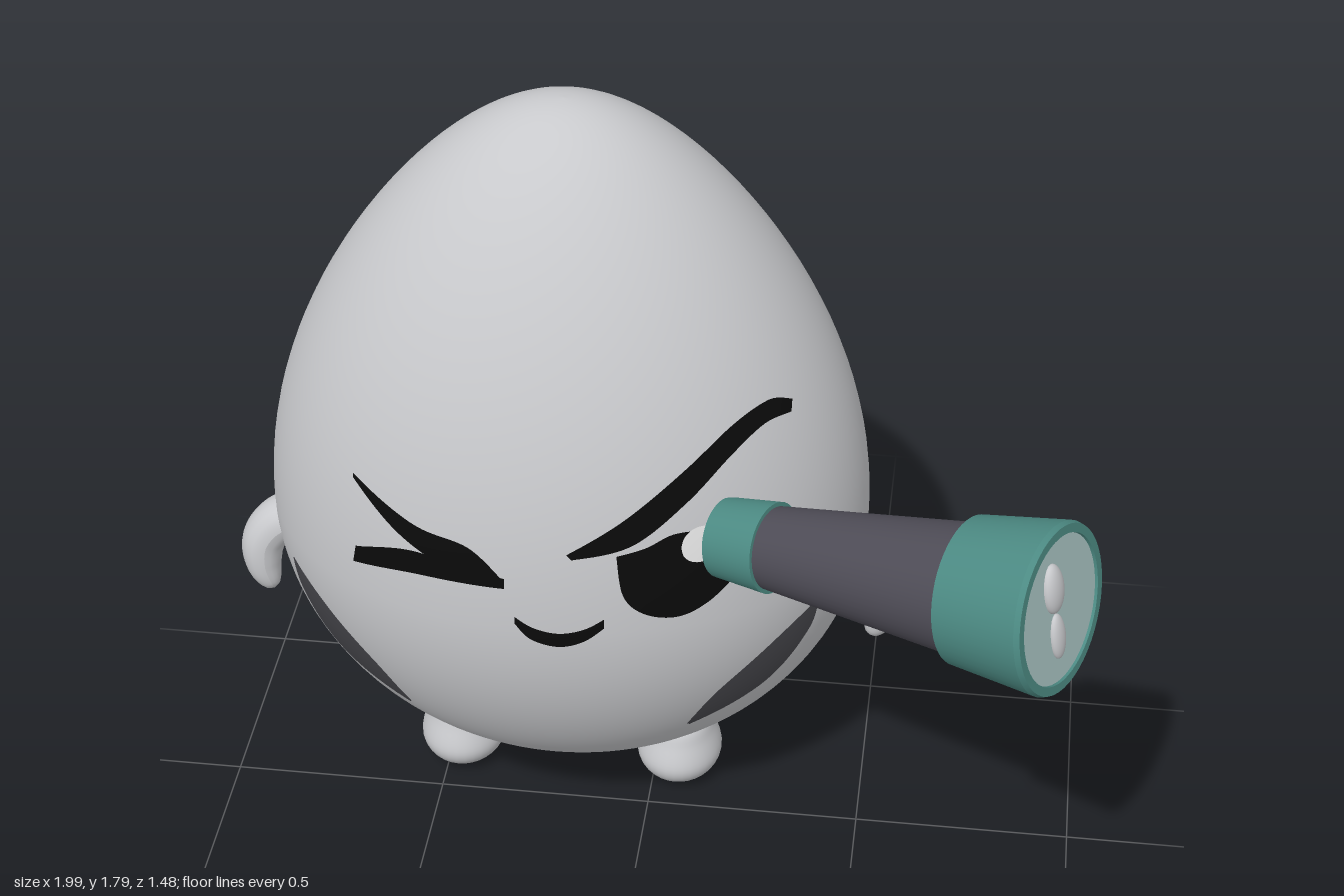
import * as THREE from 'three';

const mat = (name, color) => {
  const m = new THREE.MeshStandardMaterial({ color });
  m.name = name;
  return m;
};
const V2 = (p) => new THREE.Vector2(p[0], p[1]);

// Egg dimensions: centre, half width, half depth, heights below and above the widest ring
const C = new THREE.Vector3(-0.205, 0.77, -0.205);
const RX = 0.69, RZ = 0.54, LOW = 0.66, HIGH = 1.025;

// Relative egg radius (0..1) at height y
function eggRadius(y) {
  const t = y < C.y ? (C.y - y) / LOW : (y - C.y) / HIGH;
  const r = Math.sqrt(Math.max(0, 1 - t * t));
  return y < C.y ? r : r * (1 - 0.22 * t * t);
}

// Point on the front of the egg, pushed slightly outwards
function onEgg(x, y, lift) {
  const f = eggRadius(y), dx = (x - C.x) / RX;
  const z = C.z + RZ * Math.sqrt(Math.max(0, f * f - dx * dx));
  return new THREE.Vector3(x, y, z).sub(C).multiplyScalar(lift).add(C);
}

// Painted patch between an upper and a lower curve (both left to right)
function patch(top, bottom, lift = 1.009) {
  const a = new THREE.SplineCurve(bottom.map(V2)), b = new THREE.SplineCurve(top.map(V2));
  const N = 36, M = 8, pos = [], idx = [];
  for (let i = 0; i <= N; i++) {
    const p = a.getPoint(i / N), q = b.getPoint(i / N);
    for (let j = 0; j <= M; j++) {
      const s = p.clone().lerp(q, j / M);
      pos.push(...onEgg(s.x, s.y, lift).toArray());
      if (i < N && j < M) {
        const k = i * (M + 1) + j, l = k + M + 1;
        idx.push(k, l, l + 1, k, l + 1, k + 1);
      }
    }
  }
  const g = new THREE.BufferGeometry();
  g.setAttribute('position', new THREE.Float32BufferAttribute(pos, 3));
  g.setIndex(idx);
  g.computeVertexNormals();
  return g;
}

// Bent limb: a tube whose rings shrink to a rounded tip
function armGeometry() {
  const path = new THREE.CatmullRomCurve3([
    [0.61, 0.62, 0.01], [0.68, 0.635, 0.015], [0.73, 0.585, 0.03], [0.735, 0.52, 0.045], [0.71, 0.452, 0.06],
  ].map((p) => new THREE.Vector3(...p)));
  const N = 28, R = 20;
  const g = new THREE.TubeGeometry(path, N, 0.056, R);
  const pos = g.attributes.position, v = new THREE.Vector3();
  for (let i = 0; i <= N; i++) {
    const t = i / N, c = path.getPointAt(t), s = Math.sqrt(1 - t ** 3);
    for (let j = 0; j <= R; j++) {
      const k = i * (R + 1) + j;
      v.fromBufferAttribute(pos, k).sub(c).multiplyScalar(s);
      v.z *= 1.1;
      v.add(c);
      pos.setXYZ(k, v.x, v.y, v.z);
    }
  }
  g.computeVertexNormals();
  return g;
}

export function createModel() {
  const model = new THREE.Group();
  const shell = mat('shell', 0xc8c9cc);
  const black = mat('ink', 0x0a0a0a);
  const mark = mat('cheekMark', 0x46464b);
  const teal = mat('teal', 0x4c8a83);
  const dark = mat('darkTube', 0x4e4c56);
  const glass = mat('glass', 0xa9c4c3);
  const white = mat('highlight', 0xf0f0f0);
  black.side = mark.side = white.side = THREE.DoubleSide;

  const add = (parent, name, geo, m) => {
    const mesh = new THREE.Mesh(geo, m);
    mesh.name = name;
    parent.add(mesh);
    return mesh;
  };

  // Egg body
  const profile = [];
  for (let i = 0; i <= 64; i++) {
    const a = -Math.PI / 2 + (Math.PI * i) / 64, s = Math.sin(a);
    const y = C.y + s * (s < 0 ? LOW : HIGH);
    profile.push(new THREE.Vector2(i % 64 ? eggRadius(y) : 0, y));
  }
  const body = add(model, 'body', new THREE.LatheGeometry(profile, 96).scale(RX, 1, RZ), shell);
  body.position.set(C.x, 0, C.z);

  // Arms and feet, mirrored about the egg's middle
  const footProfile = new THREE.SplineCurve([
    [0, 0.003], [0.05, 0.009], [0.088, 0.035], [0.102, 0.075], [0.086, 0.13], [0.064, 0.175], [0, 0.195],
  ].map(V2)).getPoints(36);
  footProfile.forEach((p) => { p.x = Math.max(0, p.x); });
  const footGeo = new THREE.LatheGeometry(footProfile, 32).scale(1, 1, 1.18);
  const armGeo = armGeometry();
  for (const side of [1, -1]) {
    const limbs = new THREE.Group();
    limbs.name = side > 0 ? 'leftLimbs' : 'rightLimbs';
    limbs.position.set(C.x, 0, C.z);
    limbs.scale.x = side;
    add(limbs, 'arm', armGeo, shell);
    add(limbs, 'foot', footGeo, shell).position.set(0.264, 0, 0.058);
    model.add(limbs);
  }

  // Face
  const face = new THREE.Group();
  face.name = 'face';
  model.add(face);
  add(face, 'brow', patch(
    [[-0.136, 0.975], [-0.02, 1.05], [0.104, 1.147], [0.195, 1.217], [0.265, 1.24], [0.313, 1.218]],
    [[-0.125, 0.963], [0, 0.992], [0.11, 1.075], [0.195, 1.155], [0.26, 1.197], [0.313, 1.195]]), black);
  add(face, 'winkUpper', patch(
    [[-0.618, 1.056], [-0.473, 0.992], [-0.35, 0.968], [-0.27, 0.897]],
    [[-0.618, 1.046], [-0.51, 0.96], [-0.393, 0.906], [-0.27, 0.882]]), black);
  add(face, 'winkLower', patch(
    [[-0.615, 0.885], [-0.473, 0.928], [-0.27, 0.905]],
    [[-0.623, 0.842], [-0.473, 0.872], [-0.27, 0.88]]), black);
  add(face, 'mouth', patch(
    [[-0.249, 0.81], [-0.21, 0.785], [-0.155, 0.773], [-0.1, 0.785], [-0.056, 0.812]],
    [[-0.249, 0.792], [-0.215, 0.753], [-0.155, 0.736], [-0.1, 0.752], [-0.056, 0.788]]), black);
  add(face, 'openEye', patch(
    [[-0.03, 0.97], [0.03, 0.985], [0.09, 1.01], [0.16, 1.0], [0.2, 0.95], [0.227, 0.9]],
    [[-0.03, 0.965], [-0.015, 0.87], [0.03, 0.82], [0.1, 0.803], [0.165, 0.83], [0.227, 0.89]]), black);

  // Round glint in the open eye
  const arc = (s) => [0, 1, 2, 3, 4, 5, 6].map((i) => [
    0.142 - 0.04 * Math.cos((Math.PI * i) / 6), 0.977 + s * 0.042 * Math.sin((Math.PI * i) / 6)]);
  add(face, 'eyeGlint', patch(arc(1), arc(-1), 1.015), white);

  // Slanted cheek marks, mirrored
  const markTop = [[-0.797, 0.72], [-0.71, 0.655], [-0.59, 0.537], [-0.52, 0.42]];
  const markLow = [[-0.8, 0.715], [-0.778, 0.628], [-0.687, 0.505], [-0.525, 0.412]];
  const flip = (pts) => pts.map(([x, y]) => [2 * C.x - x, y]).reverse();
  add(face, 'rightCheekMark', patch(markTop, markLow), mark);
  add(face, 'leftCheekMark', patch(flip(markTop), flip(markLow)), mark);

  // Spyglass along local +z, aimed outwards
  const spyglass = new THREE.Group();
  spyglass.name = 'spyglass';
  spyglass.position.set(0.195, 0.985, 0.225);
  spyglass.lookAt(0.914, 1.13, 0.573);
  model.add(spyglass);
  // Each segment becomes its own cone so that the rims stay sharp
  const turned = (name, pts, m) => {
    const part = new THREE.Group();
    part.name = name;
    for (let i = 0; i < pts.length - 1; i++) {
      const g = new THREE.LatheGeometry([V2(pts[i]), V2(pts[i + 1])], 48).rotateX(Math.PI / 2);
      add(part, name + 'Section', g, m);
    }
    spyglass.add(part);
  };
  turned('eyepiece', [[0, 0], [0.088, 0], [0.1, 0.128], [0.08, 0.128]], teal);
  turned('tube', [[0.09, 0.12], [0.142, 0.61]], dark);
  turned('frontCollar', [[0.13, 0.6], [0.158, 0.6], [0.183, 0.8], [0.179, 0.812], [0.16, 0.812], [0.158, 0.802]], teal);
  add(spyglass, 'lens', new THREE.CircleGeometry(0.16, 48), glass).position.z = 0.806;

  // Two small oval glints on the lens
  for (const [y, w, h, d] of [[0.062, 0.033, 0.057, 0.02], [-0.052, 0.025, 0.053, 0.014]]) {
    const spot = add(spyglass, 'lensGlint', new THREE.SphereGeometry(1, 24, 16), shell);
    spot.scale.set(w, h, d);
    spot.position.set(-0.02, y, 0.808);
  }
  return model;
}
